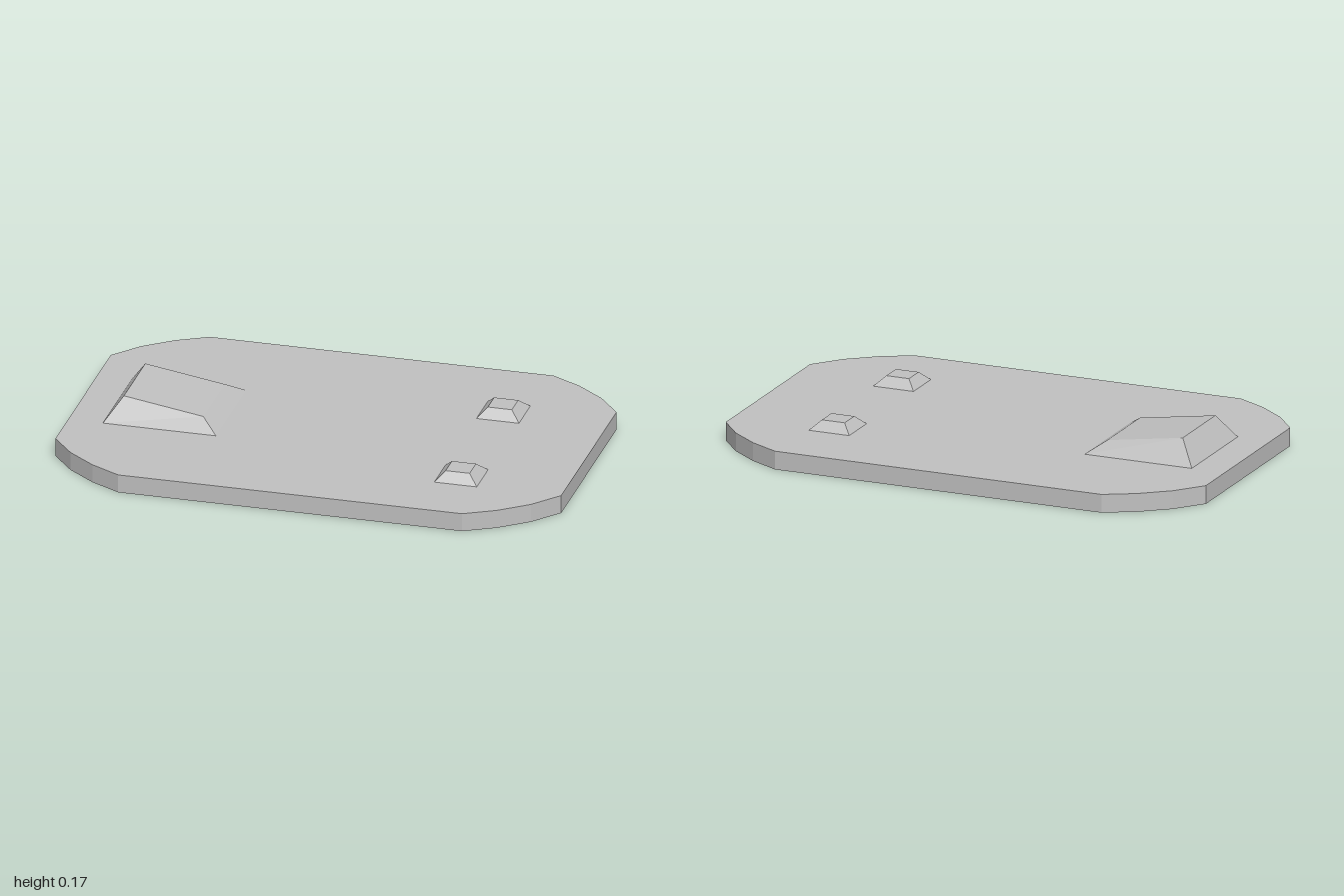
import * as THREE from 'three';

const SLAB_TOP = 0.073;

export function createModel() {
  const group = new THREE.Group();
  const grey = new THREE.MeshStandardMaterial({ color: 0xc0c0c0 });
  grey.name = 'grey';

  const add = (name, geometry) => {
    const mesh = new THREE.Mesh(geometry, grey);
    mesh.name = name;
    group.add(mesh);
  };

  // Base slab: one faceted corner mirrored into all four
  const corner = [[1, 0.4], [0.91, 0.51], [0.8, 0.597], [0.68, 0.662]];
  const back = [...corner].reverse();
  const outline = [
    ...corner,
    ...back.map(([x, z]) => [-x, z]),
    ...corner.map(([x, z]) => [-x, -z]),
    ...back.map(([x, z]) => [x, -z]),
  ].map(([x, z]) => new THREE.Vector2(x, z));
  const slab = new THREE.ExtrudeGeometry(new THREE.Shape(outline), { depth: SLAB_TOP, bevelEnabled: false });
  slab.rotateX(-Math.PI / 2);
  add('baseSlab', slab);

  // Tapered block: base and top rectangles [x0, x1, z0, z1], top heights at x0 and x1
  const taperedBlock = (base, top, y0, y1) => {
    const geometry = new THREE.BoxGeometry(1, 1, 1);
    const p = geometry.attributes.position;
    for (let i = 0; i < p.count; i++) {
      const rect = p.getY(i) > 0 ? top : base;
      const right = p.getX(i) > 0;
      const y = p.getY(i) > 0 ? (right ? y1 : y0) : SLAB_TOP;
      p.setXYZ(i, rect[right ? 1 : 0], y, rect[p.getZ(i) > 0 ? 3 : 2]);
    }
    const flat = geometry.toNonIndexed();
    flat.computeVertexNormals();
    return flat;
  };

  // Large block with a sloping top
  add('largeBlock', taperedBlock(
    [-0.863, -0.416, -0.222, 0.215], [-0.797, -0.483, -0.157, 0.153], 0.168, 0.119));

  // Pair of small studs
  [['backStud', -0.285], ['frontStud', 0.325]].forEach(([name, z]) => {
    add(name, taperedBlock(
      [0.5, 0.668, z - 0.083, z + 0.083], [0.535, 0.63, z - 0.046, z + 0.046], 0.109, 0.109));
  });

  return group;
}
